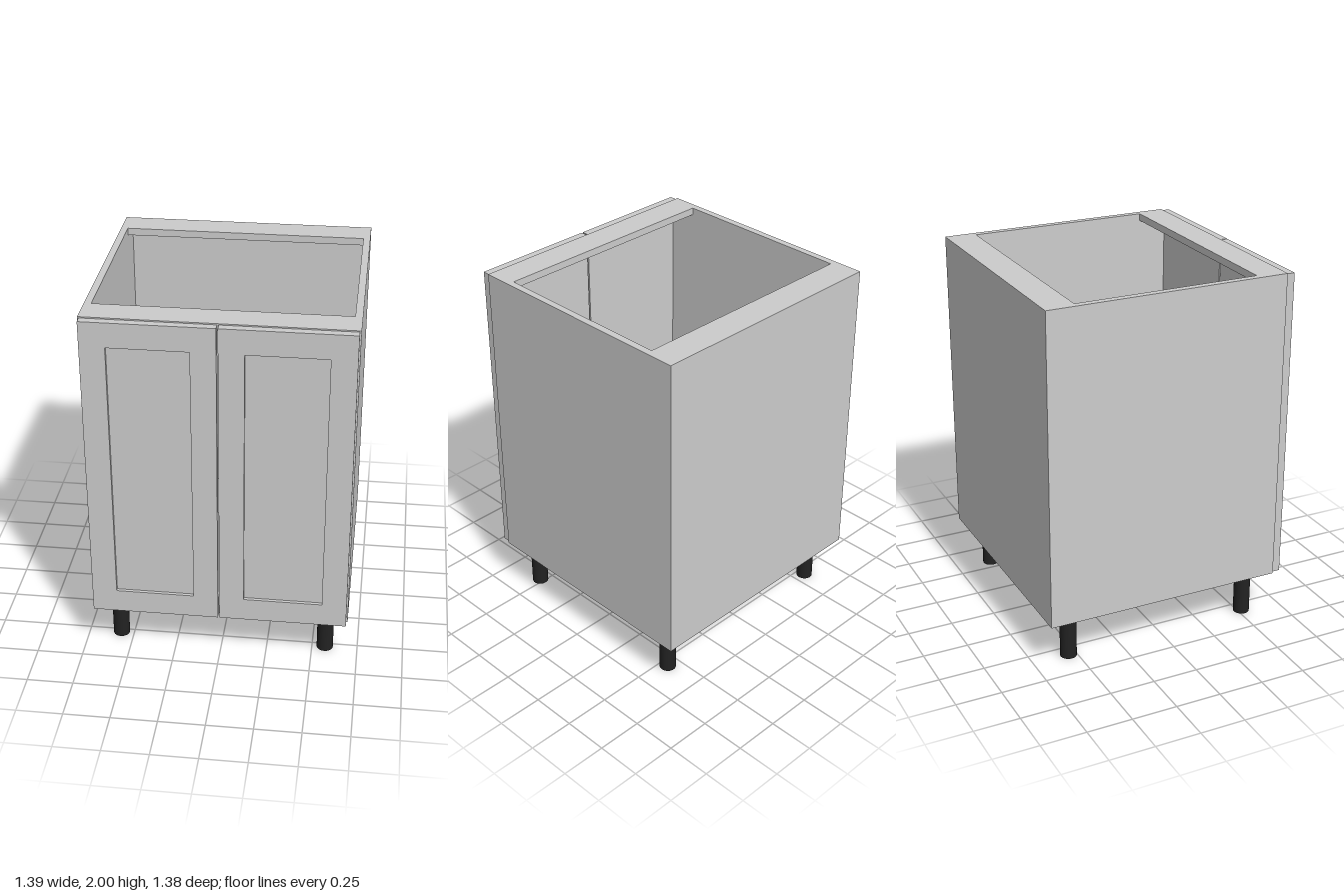
import * as THREE from 'three';

const grey = new THREE.MeshStandardMaterial({ color: 0xcccccc });
const black = new THREE.MeshStandardMaterial({ color: 0x222222 });

// Box given by its lower and upper corners
function box(name, [x0, y0, z0], [x1, y1, z1]) {
  const mesh = new THREE.Mesh(new THREE.BoxGeometry(x1 - x0, y1 - y0, z1 - z0), grey);
  mesh.position.set((x0 + x1) / 2, (y0 + y1) / 2, (z0 + z1) / 2);
  mesh.name = name;
  return mesh;
}

// Rectangle outline, as a Shape or a hole Path
function rect(Type, x0, y0, x1, y1) {
  const r = new Type();
  r.moveTo(x0, y0);
  r.lineTo(x1, y0);
  r.lineTo(x1, y1);
  r.lineTo(x0, y1);
  r.closePath();
  return r;
}

// Shaker door: a frame with a recessed centre panel
function door(name, side) {
  const group = new THREE.Group();
  group.name = name;
  const x = (v) => side * v;
  const span = (a, b) => [Math.min(x(a), x(b)), Math.max(x(a), x(b))];
  const [ox0, ox1] = span(0.004, 0.685);
  const [ix0, ix1] = span(0.135, 0.553);
  const shape = rect(THREE.Shape, ox0, 0.272, ox1, 1.995);
  shape.holes.push(rect(THREE.Path, ix0, 0.403, ix1, 1.86));
  const frame = new THREE.Mesh(
    new THREE.ExtrudeGeometry(shape, { depth: 0.042, bevelEnabled: false }), grey);
  frame.position.z = 0.649;
  frame.name = 'doorFrame';
  group.add(frame, box('doorPanel', [ix0, 0.403, 0.649], [ix1, 1.86, 0.673]));
  return group;
}

export function createModel() {
  const model = new THREE.Group();
  model.name = 'baseCabinet';
  const W = 0.693, I = 0.655, bottom = 0.267, top = 2;
  const back = -0.691, front = 0.645, inner = back + 0.02;

  // Open-topped carcass
  model.add(
    box('leftSide', [I, bottom, inner], [W, top, front]),
    box('rightSide', [-W, bottom, inner], [-I, top, front]),
    box('backPanel', [-W, bottom, back], [W, top, inner]),
    box('bottomPanel', [-I, bottom, inner], [I, bottom + 0.04, front]),
    box('rearTopRail', [-I, top - 0.04, inner], [I, top, -0.525]),
    box('frontTopRail', [-I, top - 0.04, 0.485], [I, top, front]),
  );

  // Pair of doors
  model.add(door('leftDoor', 1), door('rightDoor', -1));

  // Four round legs
  const legGeometry = new THREE.CylinderGeometry(0.045, 0.045, bottom, 32);
  for (const x of [-0.571, 0.571]) {
    for (const z of [-0.545, 0.523]) {
      const leg = new THREE.Mesh(legGeometry, black);
      leg.position.set(x, bottom / 2, z);
      leg.name = (z > 0 ? 'front' : 'rear') + (x > 0 ? 'Left' : 'Right') + 'Leg';
      model.add(leg);
    }
  }
  return model;
}
